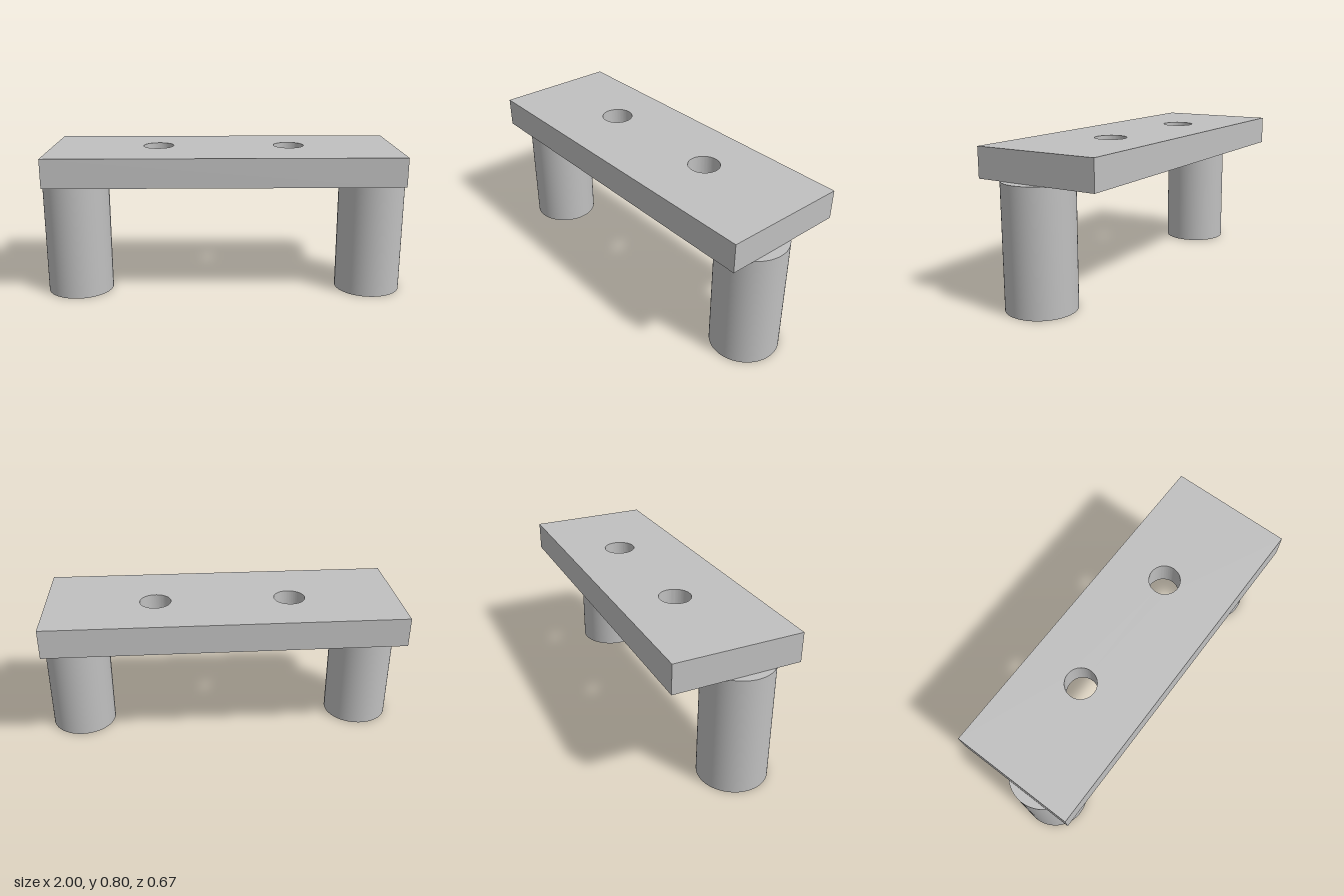
import * as THREE from 'three';
import { toCreasedNormals } from 'three/addons/utils/BufferGeometryUtils.js';

const LEG_HEIGHT = 0.643;
const TOP_HEIGHT = 0.8;

// A circular hole centred at (x, y) in a shape
function hole(x, y, radius) {
  const path = new THREE.Path();
  path.absarc(x, y, radius, 0, Math.PI * 2, true);
  return path;
}

// Extrude a plan shape upwards, with smooth round walls and sharp rims
function extrudeUp(shape, height) {
  const geometry = new THREE.ExtrudeGeometry(shape, { depth: height, bevelEnabled: false, curveSegments: 48 });
  geometry.rotateX(-Math.PI / 2);
  return toCreasedNormals(geometry, Math.PI / 6);
}

export function createModel() {
  const model = new THREE.Group();
  model.name = 'drilledPlateOnTubeLegs';
  const grey = new THREE.MeshStandardMaterial({ color: 0xc0c0c0 });
  grey.name = 'grey';

  // Plate with two through holes (shape y is minus z)
  const plan = new THREE.Shape();
  plan.moveTo(-0.952, -0.337);
  plan.lineTo(0.948, -0.337);
  plan.lineTo(0.948, 0.337);
  plan.lineTo(-0.952, 0.337);
  plan.closePath();
  for (const x of [-0.365, 0.361]) plan.holes.push(hole(x, 0.03, 0.084));
  const plate = new THREE.Mesh(extrudeUp(plan, TOP_HEIGHT - LEG_HEIGHT), grey);
  plate.name = 'plate';
  plate.position.y = LEG_HEIGHT;
  model.add(plate);

  // Hollow round legs, set slightly forward and overhanging the plate ends
  const ring = new THREE.Shape();
  ring.absarc(0, 0, 0.181, 0, Math.PI * 2, false);
  ring.holes.push(hole(0, 0, 0.108));
  const legGeometry = extrudeUp(ring, LEG_HEIGHT);
  for (const [name, side] of [['leftLeg', 1], ['rightLeg', -1]]) {
    const leg = new THREE.Mesh(legGeometry, grey);
    leg.name = name;
    leg.position.set(side * 0.819, 0, 0.079);
    model.add(leg);
  }
  return model;
}
